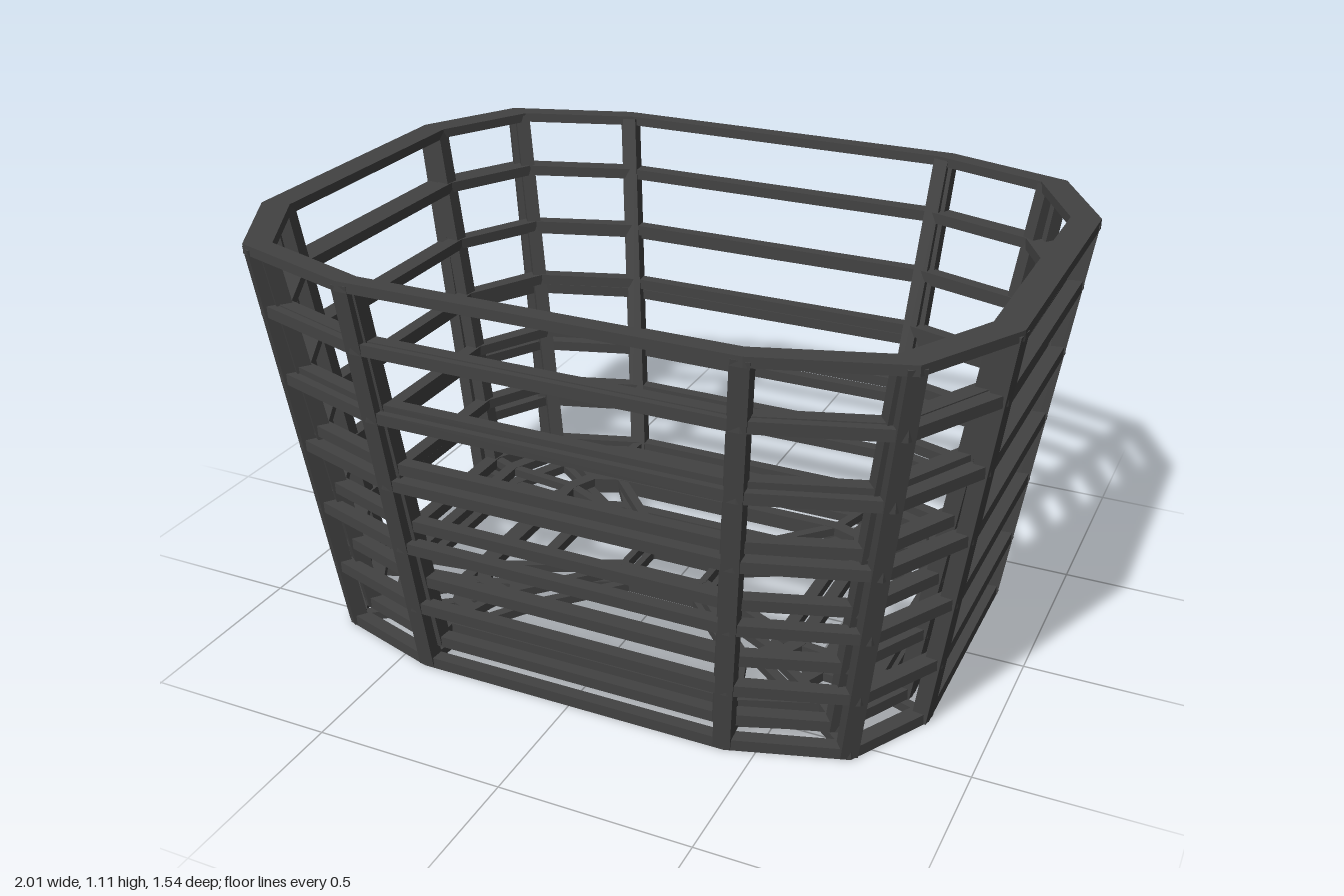
import * as THREE from 'three';

const charcoal = new THREE.MeshStandardMaterial({ color: 0x424242 });
charcoal.name = 'charcoal';

// Twelve-sided outline: half sizes X, Z and the half lengths ax, cz of its straight sides
function outline([X, Z, ax, cz]) {
  const bx = ax + 0.7 * (X - ax), bz = cz + 0.71 * (Z - cz);
  const q = [[X, cz], [bx, bz], [ax, Z]];
  const r = [...q].reverse();
  return [
    ...q, ...r.map(([x, z]) => [-x, z]),
    ...q.map(([x, z]) => [-x, -z]), ...r.map(([x, z]) => [x, -z]),
  ];
}

const inset = ([X, Z, ax, cz], wx, wz) => [X - wx, Z - wz, ax - wx * 0.4, cz - wz * 0.4];
const mix = (a, b, t) => a.map((v, i) => v + (b[i] - v) * t);

function addMesh(group, name, geometry) {
  const mesh = new THREE.Mesh(geometry, charcoal);
  mesh.name = name;
  group.add(mesh);
  return mesh;
}

// Mitred hoop of rectangular section, centred on height y
function hoop(group, name, spec, y, wx, wz, h) {
  const out = outline(spec), inn = outline(inset(spec, wx, wz));
  const n = out.length, pos = [];
  const corner = (k, i) => {
    const p = (k < 2 ? out : inn)[i];
    return [p[0], y + (k === 1 || k === 2 ? h / 2 : -h / 2), p[1]];
  };
  for (let i = 0; i < n; i++) {
    const j = (i + 1) % n;
    for (let k = 0; k < 4; k++) {
      const m = (k + 1) % 4;
      const a = corner(k, i), b = corner(m, i), c = corner(m, j), d = corner(k, j);
      pos.push(...a, ...b, ...c, ...a, ...c, ...d);
    }
  }
  const g = new THREE.BufferGeometry();
  g.setAttribute('position', new THREE.Float32BufferAttribute(pos, 3));
  g.computeVertexNormals();
  addMesh(group, name, g);
}

// Straight bar from p to q; its depth points along the given direction
function bar(group, name, p, q, width, depth, facing) {
  const along = q.clone().sub(p);
  const length = along.length();
  along.normalize();
  const side = along.clone().cross(facing).normalize();
  const front = side.clone().cross(along);
  const g = new THREE.BoxGeometry(width, length, depth);
  g.applyMatrix4(new THREE.Matrix4().makeBasis(side, along, front));
  g.translate(...p.clone().add(q).multiplyScalar(0.5).toArray());
  addMesh(group, name, g);
}

// Wall shell: hoops at the given heights joined by twelve leaning posts
function wall(group, name, base, rim, heights, postWidth) {
  const y0 = heights[0], y1 = 1.1;
  for (const y of heights) {
    hoop(group, name + 'Hoop', mix(base, rim, (y - y0) / (y1 - y0)), y, 0.04, 0.035, 0.03);
  }
  const low = outline(inset(base, 0.02, 0.02)), high = outline(inset(rim, 0.02, 0.02));
  low.forEach(([x, z], i) => {
    const prev = low[(i + 11) % 12], next = low[(i + 1) % 12];
    const facing = new THREE.Vector3(next[1] - prev[1], 0, prev[0] - next[0]).normalize();
    bar(group, name + 'Post', new THREE.Vector3(x, y0 - 0.01, z),
      new THREE.Vector3(high[i][0], y1, high[i][1]), postWidth, 0.04, facing);
  });
}

// Floor grid: nested hoops with spokes running in to the small centre hoop
function floor(group, name, edge, specs, y) {
  const up = new THREE.Vector3(0, 1, 0);
  for (const s of specs) {
    const w = s[0] < 0.2 ? 0.02 : 0.035;
    hoop(group, name + 'Hoop', s, y, w, w, 0.026);
  }
  const rings = [edge, ...specs].map((s) => outline(inset(s, 0.015, 0.015)));
  for (let r = 0; r < rings.length - 1; r++) {
    rings[r].forEach(([x, z], i) => {
      // the middle corner spoke stops before the centre
      if (r === rings.length - 2 && i % 3 === 1) return;
      const [u, v] = rings[r + 1][i];
      bar(group, name + 'Spoke', new THREE.Vector3(x, y, z), new THREE.Vector3(u, y, v), 0.026, 0.024, up);
    });
  }
}

export function createModel() {
  const basket = new THREE.Group();
  basket.name = 'basket';

  const outerBase = [0.845, 0.65, 0.425, 0.335];
  const outerRim = [1.0, 0.77, 0.505, 0.39];
  const innerBase = [0.795, 0.625, 0.41, 0.325];
  const innerRim = [0.965, 0.755, 0.495, 0.38];

  // Walls
  const outer = new THREE.Group();
  outer.name = 'outerWall';
  wall(outer, 'outer', outerBase, outerRim, [0.016, 0.19, 0.375, 0.56, 0.75, 0.935], 0.045);
  const inner = new THREE.Group();
  inner.name = 'innerWall';
  wall(inner, 'inner', innerBase, innerRim, [0.07, 0.26, 0.432, 0.6, 0.767, 0.938], 0.04);

  // Rim
  hoop(basket, 'rim', outerRim, 1.096, 0.075, 0.045, 0.026);

  // Floors
  const large = [0.71, 0.555, 0.415, 0.29];
  const wide = [0.55, 0.435, 0.385, 0.275];
  const middle = [0.485, 0.375, 0.36, 0.26];
  const small = [0.405, 0.315, 0.305, 0.235];
  const centre = [0.13, 0.105, 0.108, 0.088];
  const lower = new THREE.Group();
  lower.name = 'lowerFloor';
  floor(lower, 'lowerFloor', outerBase, [large, wide, small, centre], 0.015);
  const upper = new THREE.Group();
  upper.name = 'upperFloor';
  floor(upper, 'upperFloor', innerBase, [large, middle, centre], 0.07);

  basket.add(outer, inner, lower, upper);
  return basket;
}
